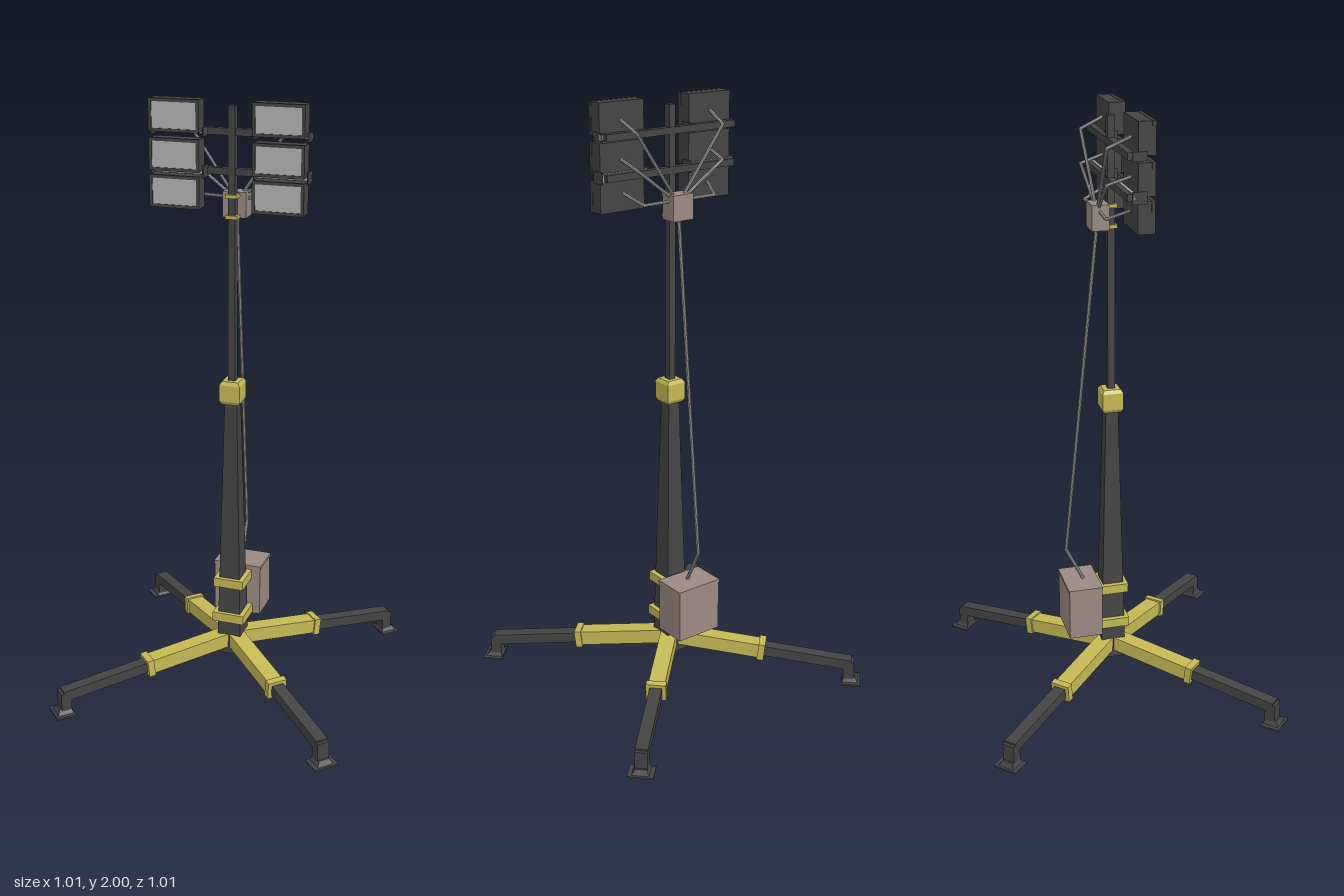
import * as THREE from 'three';

const mat = (color) => new THREE.MeshStandardMaterial({ color, flatShading: true });

export function createModel() {
  const root = new THREE.Group();
  const dark = mat(0x444444), yellow = mat(0xc4b955), beige = mat(0x9a8a82);
  const glass = mat(0xb4b4b4), metal = mat(0xa2a2a2);

  const add = (parent, name, geo, material, x = 0, y = 0, z = 0) => {
    const m = new THREE.Mesh(geo, material);
    m.name = name;
    m.position.set(x, y, z);
    parent.add(m);
    return m;
  };
  // box given by its min and max corners
  const box = (parent, name, material, [x0, y0, z0], [x1, y1, z1]) =>
    add(parent, name, new THREE.BoxGeometry(x1 - x0, y1 - y0, z1 - z0), material,
      (x0 + x1) / 2, (y0 + y1) / 2, (z0 + z1) / 2);
  // square frustum with half widths at top and bottom
  const frustum = (top, bottom, h, open = false) =>
    new THREE.CylinderGeometry(top * Math.SQRT2, bottom * Math.SQRT2, h, 4, 1, open).rotateY(Math.PI / 4);
  // rod that follows straight segments between points
  const rod = (parent, name, pts, r) => {
    const path = new THREE.CurvePath();
    const v = pts.map((p) => new THREE.Vector3(...p));
    for (let i = 1; i < v.length; i++) path.add(new THREE.LineCurve3(v[i - 1], v[i]));
    const g = new THREE.Group();
    g.name = name;
    path.curves.forEach((c) => add(g, name + 'Segment', new THREE.TubeGeometry(c, 1, r, 8), metal));
    v.forEach((p) => add(g, name + 'Joint', new THREE.SphereGeometry(r, 8, 6), metal, p.x, p.y, p.z));
    parent.add(g);
  };

  // mast
  add(root, 'lowerMast', frustum(0.021, 0.043, 0.93), dark, 0, 0.55, 0);
  add(root, 'mastCollar', frustum(0.035, 0.035, 0.056), yellow, 0, 1.05, 0);
  add(root, 'collarTop', frustum(0.028, 0.035, 0.012), yellow, 0, 1.084, 0);
  add(root, 'collarBottom', frustum(0.035, 0.028, 0.012), yellow, 0, 1.016, 0);
  add(root, 'upperMast', frustum(0.012, 0.012, 0.9), dark, 0, 1.53, 0);

  // legs, repeated on the diagonals
  for (let i = 0; i < 4; i++) {
    const leg = new THREE.Group();
    leg.name = 'leg';
    leg.rotation.y = Math.PI / 4 + (i * Math.PI) / 2;
    const arm = new THREE.Group();
    arm.name = 'legArm';
    arm.position.y = 0.138;
    arm.rotation.z = -0.108;
    leg.add(arm);
    box(arm, 'legSleeve', yellow, [0, -0.025, -0.028], [0.33, 0.025, 0.028]);
    box(arm, 'sleeveCollar', yellow, [0.315, -0.03, -0.034], [0.338, 0.03, 0.034]);
    box(arm, 'innerLeg', dark, [0.3, -0.018, -0.021], [0.64, 0.018, 0.021]);
    box(leg, 'footPost', dark, [0.612, 0.012, -0.021], [0.648, 0.08, 0.021]);
    add(leg, 'footFlare', frustum(0.018, 0.028, 0.016), dark, 0.636, 0.014, 0);
    box(leg, 'footPlate', dark, [0.606, 0, -0.042], [0.672, 0.006, 0.042]);
    root.add(leg);
  }

  // control box with its clamps
  box(root, 'controlBox', beige, [-0.083, 0.207, -0.165], [0.083, 0.387, -0.05]);
  box(root, 'controlBoxLid', beige, [-0.085, 0.382, -0.167], [0.085, 0.392, -0.048]);
  for (const [y, w] of [[0.228, 0.056], [0.36, 0.053]])
    box(root, 'mastClamp', yellow, [-w, y - 0.016, -0.05], [w, y + 0.016, w - 0.003]);

  // junction box with its clamps and the main cable
  box(root, 'junctionBox', beige, [-0.039, 1.628, -0.069], [0.039, 1.71, -0.013]);
  for (const y of [1.634, 1.7])
    box(root, 'junctionClamp', yellow, [-0.02, y - 0.006, -0.016], [0.02, y + 0.006, 0.018]);
  rod(root, 'mainCable', [[0, 0.385, -0.095], [0, 0.51, -0.157], [0, 1.635, -0.045]], 0.006);

  // cross bars
  for (const y of [1.9, 1.777])
    box(root, 'crossBar', dark, [-0.247, y - 0.011, -0.014], [0.247, y + 0.011, 0.009]);

  // lamps: centre height, height of bracket, feed rod points for the +x side
  const rows = [
    [1.951, 1.9, [[0.02, 1.705, -0.045], [0.165, 1.91, -0.055], [0.172, 1.945, 0.022]]],
    [1.83, 1.782, [[0.028, 1.7, -0.045], [0.165, 1.8, -0.055], [0.172, 1.825, 0.022]]],
    [1.715, 1.772, [[0.035, 1.688, -0.042], [0.138, 1.69, -0.05], [0.165, 1.72, 0.022]]],
  ];
  for (const side of [-1, 1]) {
    for (const [y, by, pts] of rows) {
      const lamp = new THREE.Group();
      lamp.name = 'lamp';
      lamp.position.set(side * 0.169, y, 0);
      box(lamp, 'lampHousing', dark, [-0.082, -0.05, 0.018], [0.082, 0.05, 0.066]);
      // raised rim around the glass
      for (const s of [-1, 1]) {
        box(lamp, 'lampRim', dark, [-0.082, s * 0.046 - 0.005, 0.06], [0.082, s * 0.046 + 0.005, 0.072]);
        box(lamp, 'lampRim', dark, [s * 0.078 - 0.005, -0.05, 0.06], [s * 0.078 + 0.005, 0.05, 0.072]);
        // side arms of the bracket
        box(lamp, 'lampBracketArm', dark, [s * 0.086 - 0.002, by - y - 0.014, 0], [s * 0.086 + 0.002, by - y + 0.014, 0.045]);
      }
      box(lamp, 'lampBracket', metal, [-0.088, by - y - 0.008, 0.002], [0.088, by - y + 0.008, 0.012]);
      box(lamp, 'lampGlass', glass, [-0.073, -0.041, 0.06], [0.073, 0.041, 0.069]);
      root.add(lamp);
      rod(root, 'lampCable', pts.map(([x, py, z]) => [x * side, py, z]), 0.0055);
    }
  }
  return root;
}
